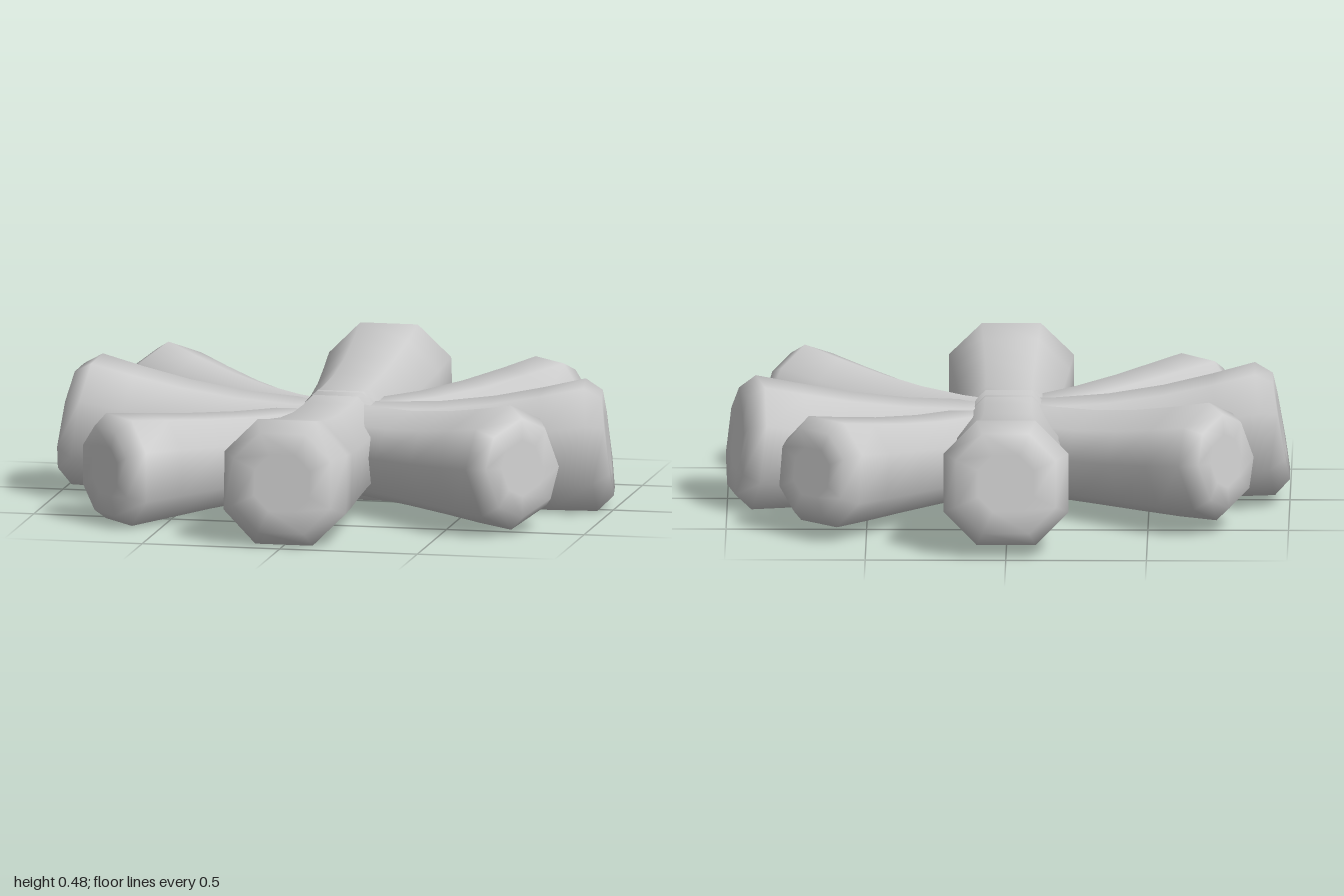
import * as THREE from 'three';

const SIDES = 8;
// Square section with cut corners, as [side, top] multiples of the radius
const CUT = 0.47;
const SECTION = [[1, CUT], [CUT, 1], [-CUT, 1], [-1, CUT], [-1, -CUT], [-CUT, -1], [CUT, -1], [1, -CUT]];
// Flare along an arm: [position on path, blend from waist to end radius]
const FLARE = [[0, 0], [0.2, 0], [0.4, 0.1], [0.6, 0.36], [0.78, 0.7], [0.94, 1]];

// Eight-sided arm swept along a bent path, flaring to a bevelled end
function armGeometry({ start, bend, end, waist, radius, roll = 0 }) {
  const path = new THREE.QuadraticBezierCurve3(
    new THREE.Vector3(...start), new THREE.Vector3(...bend), new THREE.Vector3(...end));
  const rings = FLARE.map(([t, k]) => [t, waist + (radius - waist) * k]);
  rings.push([1, radius * 0.8], [1, radius * 0.45]); // bevel and flat end face

  const positions = [], index = [];
  const up = new THREE.Vector3(0, 1, 0);
  for (const [t, r] of rings) {
    const centre = path.getPoint(t);
    const along = path.getTangent(t);
    const side = new THREE.Vector3().crossVectors(up, along).normalize().applyAxisAngle(along, roll);
    const top = new THREE.Vector3().crossVectors(along, side);
    for (const [s, h] of SECTION) {
      const p = centre.clone().addScaledVector(side, r * s).addScaledVector(top, r * h);
      positions.push(p.x, p.y, p.z);
    }
  }
  positions.push(...end);

  const tip = rings.length * SIDES;
  for (let i = 0; i < rings.length; i++) {
    for (let j = 0; j < SIDES; j++) {
      const a = i * SIDES + j, b = i * SIDES + (j + 1) % SIDES;
      if (i === rings.length - 1) index.push(a, b, tip);
      else index.push(a, b, a + SIDES, b, b + SIDES, a + SIDES);
    }
  }
  const geometry = new THREE.BufferGeometry();
  geometry.setAttribute('position', new THREE.Float32BufferAttribute(positions, 3));
  geometry.setIndex(index);
  geometry.computeVertexNormals();
  return geometry;
}

export function createModel() {
  const group = new THREE.Group();
  group.name = 'crossedArms';
  const material = new THREE.MeshStandardMaterial({ color: 0xcccccc, side: THREE.DoubleSide });

  const arms = {
    // long bar running front to back, its halves overlapping at the centre
    frontArm: { start: [0, 0.217, -0.06], bend: [0, 0.185, 0.48], end: [0, 0.237, 0.965], waist: 0.176, radius: 0.222 },
    backArm: { start: [0, 0.217, 0.06], bend: [0, 0.2, -0.48], end: [0, 0.278, -0.965], waist: 0.176, radius: 0.222 },
    // sideways bar, slightly lower
    leftArm: { start: [-0.06, 0.193, 0], bend: [0.48, 0.175, 0.01], end: [0.965, 0.235, -0.08], waist: 0.165, radius: 0.222 },
    rightArm: { start: [0.06, 0.193, 0], bend: [-0.48, 0.19, 0], end: [-0.97, 0.276, 0.005], waist: 0.165, radius: 0.222 },
    // thinner diagonal arms
    frontLeftArm: { start: [0, 0.205, 0], bend: [0.38, 0.195, 0.26], end: [0.785, 0.248, 0.545], waist: 0.147, radius: 0.2, roll: 0.35 },
    backRightArm: { start: [0, 0.205, 0], bend: [-0.38, 0.195, -0.265], end: [-0.778, 0.268, -0.54], waist: 0.147, radius: 0.19, roll: 0.35 },
    backLeftArm: { start: [0, 0.205, 0], bend: [0.36, 0.195, -0.3], end: [0.695, 0.25, -0.66], waist: 0.145, radius: 0.187 },
    frontRightArm: { start: [0, 0.205, 0], bend: [-0.35, 0.2, 0.32], end: [-0.71, 0.2, 0.65], waist: 0.145, radius: 0.19 },
  };
  for (const [name, spec] of Object.entries(arms)) {
    const mesh = new THREE.Mesh(armGeometry(spec), material);
    mesh.name = name;
    group.add(mesh);
  }
  return group;
}
